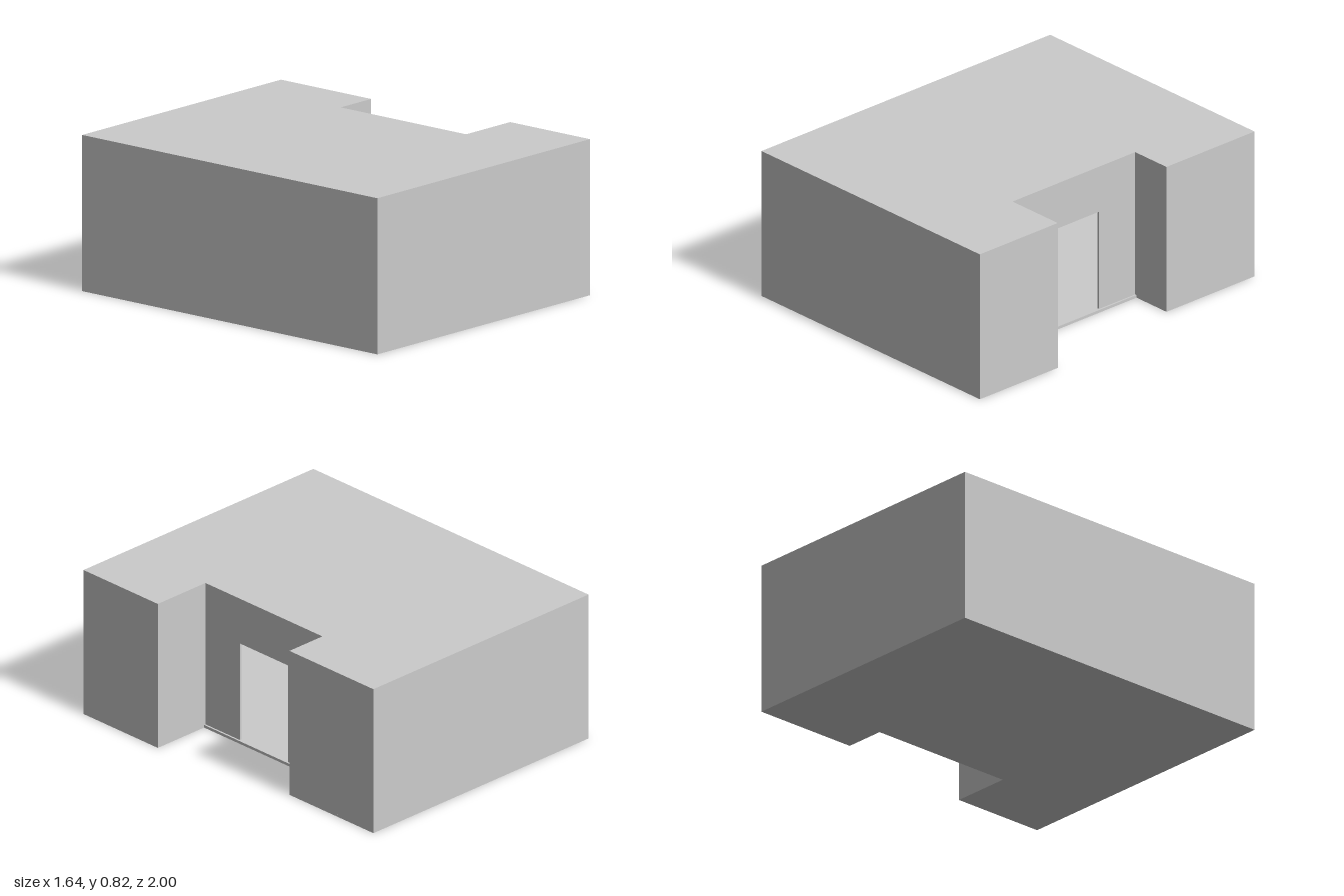
import * as THREE from 'three';

const material = new THREE.MeshStandardMaterial({ color: 0xcccccc, flatShading: true });
const T = 0.012; // wall thickness
const H = 0.82; // overall height
const FLOOR = 0.015;
const ROOF = 0.01;
const N0 = -0.39, N1 = 0.46; // recess limits along z
const WALL_X = 0.48; // outer face of the entrance wall

function shapeOf(points) {
  return new THREE.Shape(points.map(([x, y]) => new THREE.Vector2(x, y)));
}

// Extrudes an (x, z) plan upward from y0 to y1.
function plan(name, points, y0, y1) {
  const shape = shapeOf(points.map(([x, z]) => [x, -z]));
  const geo = new THREE.ExtrudeGeometry(shape, { depth: y1 - y0, bevelEnabled: false });
  geo.rotateX(-Math.PI / 2).translate(0, y0, 0);
  const mesh = new THREE.Mesh(geo, material);
  mesh.name = name;
  return mesh;
}

// Footprint with a recess on the +x side ending at recessX.
function footprint(recessX) {
  return [
    [-0.82, 1], [0.82, 1], [0.82, N1], [recessX, N1],
    [recessX, N0], [0.715, N0], [0.715, -1], [-0.82, -1],
  ];
}

export function createModel() {
  const group = new THREE.Group();
  group.name = 'room';

  // Floor and roof slabs
  group.add(plan('floor', footprint(0.49), 0, FLOOR));
  group.add(plan('roof', footprint(WALL_X - T), H - ROOF, H));

  // Perimeter walls, open at the recess where the entrance wall stands
  const xi = WALL_X - T;
  group.add(plan('perimeterWalls', [
    [xi, N1], [0.82, N1], [0.82, 1], [-0.82, 1], [-0.82, -1], [0.715, -1], [0.715, N0], [xi, N0],
    [xi, N0 - T], [0.715 - T, N0 - T], [0.715 - T, -1 + T], [-0.82 + T, -1 + T],
    [-0.82 + T, 1 - T], [0.82 - T, 1 - T], [0.82 - T, N1 + T], [xi, N1 + T],
  ], FLOOR, H - ROOF));

  // Entrance wall with the doorway cut out down to the floor
  const wall = shapeOf([
    [-N1, FLOOR], [-0.21, FLOOR], [-0.21, 0.565], [0.14, 0.565],
    [0.14, FLOOR], [-N0, FLOOR], [-N0, H], [-N1, H],
  ]);
  const geo = new THREE.ExtrudeGeometry(wall, { depth: T, bevelEnabled: false });
  geo.rotateY(Math.PI / 2).translate(xi, 0, 0);
  const entrance = new THREE.Mesh(geo, material);
  entrance.name = 'entranceWall';
  group.add(entrance);

  return group;
}
